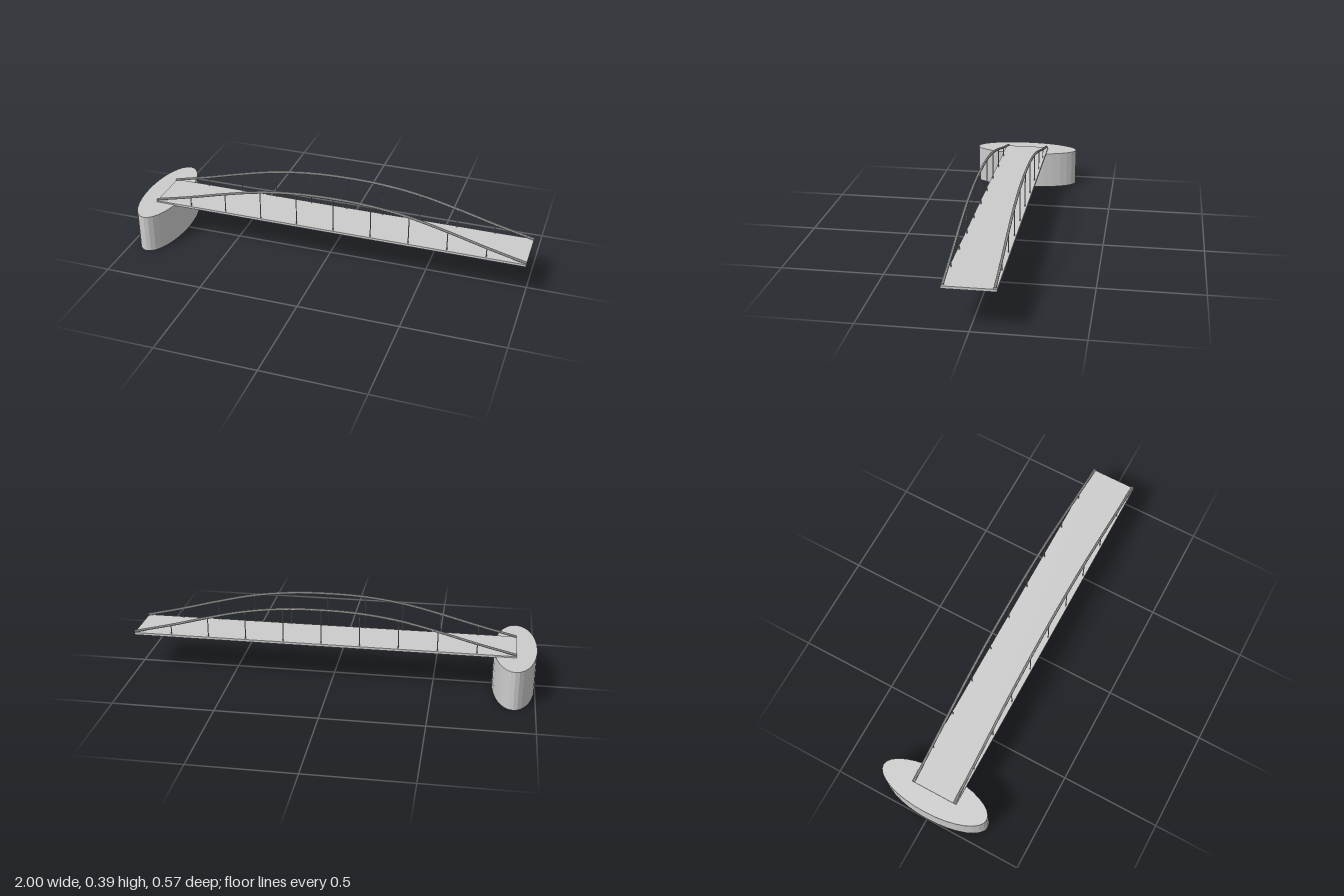
import * as THREE from 'three';

export function createModel() {
  const model = new THREE.Group();
  model.name = 'archBridge';
  const grey = new THREE.MeshStandardMaterial({ color: 0xcccccc, flatShading: true, side: THREE.DoubleSide });
  grey.name = 'lightGrey';

  const add = (name, geometry, x, y, z, parent = model) => {
    const mesh = new THREE.Mesh(geometry, grey);
    mesh.name = name;
    mesh.position.set(x, y, z);
    parent.add(mesh);
    return mesh;
  };

  // Oval pier under the left end of the deck
  const pierHeight = 0.198;
  const pier = new THREE.CylinderGeometry(1, 1, pierHeight, 32);
  pier.scale(0.105, 1, 0.283);
  add('pier', pier, -0.895, pierHeight / 2, 0);

  // Deck
  const span = 1.9, midX = 0.05, deckTop = 0.205;
  add('deck', new THREE.BoxGeometry(span, 0.012, 0.24), midX, deckTop - 0.006, 0);

  // Arch heights at each tenth of the span, mirrored about the middle
  const half = [0.209, 0.255, 0.306, 0.35, 0.375, 0.382];
  const heights = [...half, ...half.slice(0, 5).reverse()];
  const points = heights.map((y, i) => new THREE.Vector3(midX - span / 2 + (span * i) / 10, y, 0));
  const archGeometry = new THREE.TubeGeometry(new THREE.CatmullRomCurve3(points), 50, 0.0065, 8);

  for (const z of [0.111, -0.111]) {
    const side = new THREE.Group();
    side.name = z > 0 ? 'frontArch' : 'backArch';
    side.position.z = z;
    add('archRib', archGeometry, 0, 0, 0, side);
    // Vertical hangers from the rib to the deck
    for (const p of points.slice(1, -1)) {
      const length = p.y - deckTop;
      add('hanger', new THREE.CylinderGeometry(0.0025, 0.0025, length, 8), p.x, deckTop + length / 2, 0, side);
    }
    model.add(side);
  }
  return model;
}
